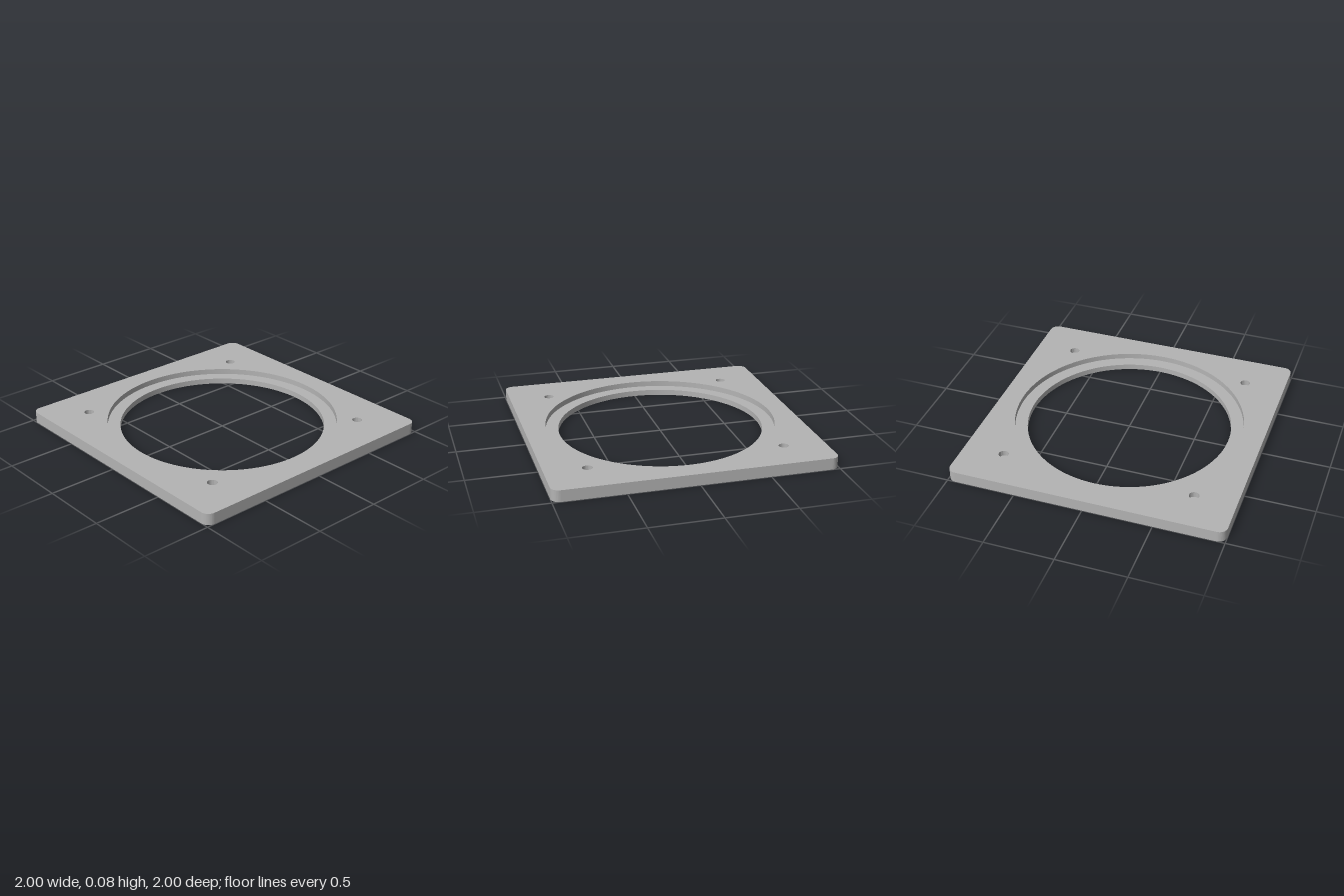
import * as THREE from 'three';
import { toCreasedNormals } from 'three/addons/utils/BufferGeometryUtils.js';

const HEIGHT = 0.083, LEDGE = 0.042;

// Square outline with rounded corners
function roundedSquare(half, r) {
  const s = new THREE.Shape(), c = half - r;
  s.absarc(c, c, r, 0, Math.PI / 2);
  s.absarc(-c, c, r, Math.PI / 2, Math.PI);
  s.absarc(-c, -c, r, Math.PI, Math.PI * 1.5);
  s.absarc(c, -c, r, Math.PI * 1.5, Math.PI * 2);
  s.closePath();
  return s;
}

function addHole(shape, x, y, r) {
  const hole = new THREE.Path();
  hole.absarc(x, y, r, 0, Math.PI * 2, true);
  shape.holes.push(hole);
}

// Flat layer lying between two heights
function layer(name, shape, y0, y1, material) {
  const extruded = new THREE.ExtrudeGeometry(shape, { depth: y1 - y0, bevelEnabled: false, curveSegments: 48 });
  extruded.rotateX(-Math.PI / 2).translate(0, y0, 0);
  const mesh = new THREE.Mesh(toCreasedNormals(extruded, 0.6), material);
  mesh.name = name;
  return mesh;
}

export function createModel() {
  const group = new THREE.Group();
  group.name = 'mountingPlate';
  const grey = new THREE.MeshStandardMaterial({ color: 0xb4b4b4 });
  grey.name = 'grey';

  // Lower layer: its rim forms the ledge around the opening
  const lower = roundedSquare(1, 0.06);
  addHole(lower, 0, 0, 0.75);
  group.add(layer('ledgePlate', lower, 0, LEDGE, grey));

  // Upper layer: wider recess and four blind screw holes
  const upper = roundedSquare(1, 0.06);
  addHole(upper, 0, 0, 0.842);
  for (const x of [-0.7, 0.7]) for (const y of [-0.7, 0.7]) addHole(upper, x, y, 0.036);
  group.add(layer('recessPlate', upper, LEDGE, HEIGHT, grey));

  return group;
}
